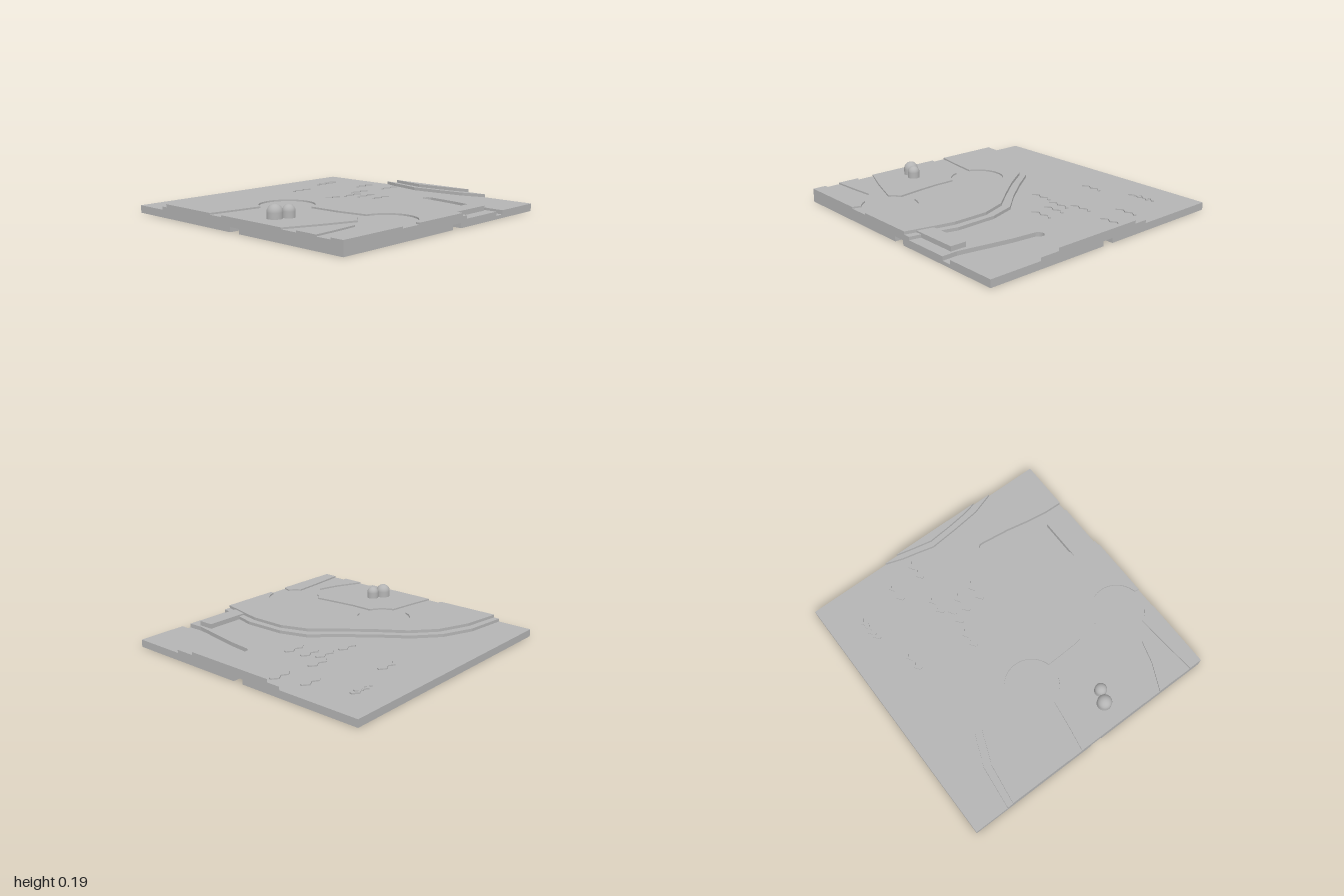
import * as THREE from 'three';

const stone = new THREE.MeshStandardMaterial({ color: 0xb4b4b4 });
stone.name = 'plain grey';

// Heights of the stacked terraces
const Y = { channel: 0.025, notch: 0.035, water: 0.055, shore: 0.078, path: 0.088, land: 0.1 };

// Turn [x, z] points into a flat outline
const toVectors = pts => pts.map(([x, z]) => new THREE.Vector2(x, -z));

// Upright slab from a plan outline
function slab(name, pts, y0, y1, holes = []) {
  const shape = new THREE.Shape(toVectors(pts));
  shape.holes = holes.map(h => new THREE.Path(toVectors(h)));
  const geo = new THREE.ExtrudeGeometry(shape, { depth: y1 - y0, bevelEnabled: false });
  geo.rotateX(-Math.PI / 2);
  geo.translate(0, y0, 0);
  const mesh = new THREE.Mesh(geo, stone);
  mesh.name = name;
  return mesh;
}

// Points on an arc, angles in degrees from +x towards +z
function arc([cx, cz], r, from, to, n) {
  return Array.from({ length: n + 1 }, (_, i) => {
    const a = THREE.MathUtils.degToRad(from + (to - from) * i / n);
    return [cx + r * Math.cos(a), cz + r * Math.sin(a)];
  });
}

const rect = (x0, x1, z0, z1) => [[x0, z0], [x1, z0], [x1, z1], [x0, z1]];

export function createModel() {
  const group = new THREE.Group();
  group.name = 'coastTile';

  // Plan curves
  const shoreOuter = [[-1, -0.735], [-0.68, -0.7], [-0.445, -0.605], [-0.27, -0.45], [-0.13, -0.255],
    [0.04, -0.04], [0.2, 0.135], [0.265, 0.34], [0.275, 0.655], [0.24, 0.795], [0.2, 1]];
  const shoreInner = [[-1, -0.69], [-0.705, -0.65], [-0.465, -0.555], [-0.295, -0.405], [-0.155, -0.2],
    [-0.005, -0.01], [0.15, 0.175], [0.22, 0.375], [0.225, 0.645], [0.195, 0.795], [0.15, 1]];
  const channel = [[0.55, 1], [0.545, 0.885], [0.56, 0.79], [0.583, 0.67], [0.615, 0.485],
    ...arc([0.673, 0.31], 0.04, 180, 360, 10),
    [0.685, 0.54], [0.65, 0.72], [0.63, 0.86], [0.625, 1]];
  const pits = [rect(-0.54, -0.31, -0.195, 0.035), rect(-0.46, -0.235, 0.66, 0.89)];

  // Base layers, with notches under three edges and a channel cut in the front
  const back = [[-1, -1], [1, -1]];
  const rightNotch = [[1, -0.04], [0.9, -0.04], [0.9, 0.045], [1, 0.045]];
  const frontNotch = [[0.135, 1], [0.135, 0.9], [0.045, 0.9], [0.045, 1]];
  const leftNotch = [[-1, 0.09], [-0.9, 0.09], [-0.9, 0], [-1, 0]];
  const channelCut = [...channel].reverse();
  group.add(
    slab('baseBottom', [...back, ...rightNotch, [1, 1], ...frontNotch, [-1, 1], ...leftNotch], 0, Y.channel),
    slab('baseMiddle', [...back, ...rightNotch, [1, 1], ...channelCut, ...frontNotch, [-1, 1], ...leftNotch],
      Y.channel, Y.notch),
    slab('waterBed', [...back, [1, 1], ...channelCut, [-1, 1]], Y.notch, Y.water, pits),
    slab('shoreTerrace', [...shoreOuter, [-1, 1]], Y.water, Y.shore, pits),
    slab('pathLevel', [...shoreInner, [-1, 1]], Y.shore, Y.path, pits));

  // Land left standing between the sunken paths and round clearings
  const c1 = [-0.42, -0.08], c2 = [-0.342, 0.773], r = 0.198;
  const lands = [
    [...shoreInner, [-0.31, 1], ...arc(c2, r, 79, -85, 24),
      [-0.36, 0.35], ...arc(c1, r, 75, -159, 32), [-0.8, -0.175], [-1, -0.205]],
    [[-1, -0.09], [-0.8, -0.055], ...arc(c1, r, 165, 110, 8), [-0.487, 0.27], [-0.47, 0.43],
      ...arc(c2, r, -122, -149, 5), [-0.77, 0.58], [-1, 0.485]],
    [[-1, 0.617], [-0.8, 0.71], [-0.636, 0.757], [-0.8, 0.772], [-1, 0.783]],
    [[-1, 0.9], [-0.717, 0.875], ...arc(c2, r, 153, 123, 5), [-0.47, 1], [-1, 1]],
  ];
  lands.forEach((pts, i) => group.add(slab('land' + (i + 1), pts, Y.path, Y.land)));

  // Stepped far bank on the left edge
  group.add(
    slab('farBankLower', [[1, -0.37], [0.957, -0.24], [0.93, -0.12], [0.9, 0], [0.92, 0.22], [0.945, 0.43], [1, 0.6]],
      Y.water, Y.shore),
    slab('farBankUpper', [[1, -0.265], [0.973, -0.15], [0.94, 0.01], [0.957, 0.2], [0.975, 0.34], [1, 0.45]],
      Y.shore, Y.land));

  // Jetty
  group.add(slab('jetty', rect(0.165, 0.525, 0.795, 0.915), Y.water, 0.09));

  // Zigzag waves
  const crest = [[-0.09, 0.008], [-0.045, -0.025], [0, 0.002], [0.045, -0.025], [0.09, 0.008]];
  const wave = [...crest, ...crest.map(([x, z]) => [x * 0.93, z + 0.019]).reverse()];
  [[0.255, -0.645], [0.625, -0.748], [0.67, -0.758], [0.775, -0.44], [0.155, -0.222], [0.363, -0.195],
    [0.513, -0.262], [0.83, -0.222], [0.41, -0.1], [0.425, 0.035]].forEach(([cx, cz], i) =>
    group.add(slab('wave' + (i + 1), wave.map(([x, z]) => [x + cx, z + cz]), Y.water, 0.064 + (i === 2 ? 0.001 : 0))));

  // Domed bushes
  for (const [name, x, z, rad, top] of [['largeBush', -0.83, 0.243, 0.053, 0.195], ['smallBush', -0.743, 0.28, 0.044, 0.187]]) {
    const profile = [new THREE.Vector2(rad, 0)];
    const side = top - Y.land - rad;
    for (let i = 0; i <= 10; i++) {
      const a = i / 10 * Math.PI / 2;
      profile.push(new THREE.Vector2(i === 10 ? 0 : rad * Math.cos(a), side + rad * Math.sin(a)));
    }
    const bush = new THREE.Mesh(new THREE.LatheGeometry(profile, 32), stone);
    bush.name = name;
    bush.position.set(x, Y.land, z);
    group.add(bush);
  }
  return group;
}
